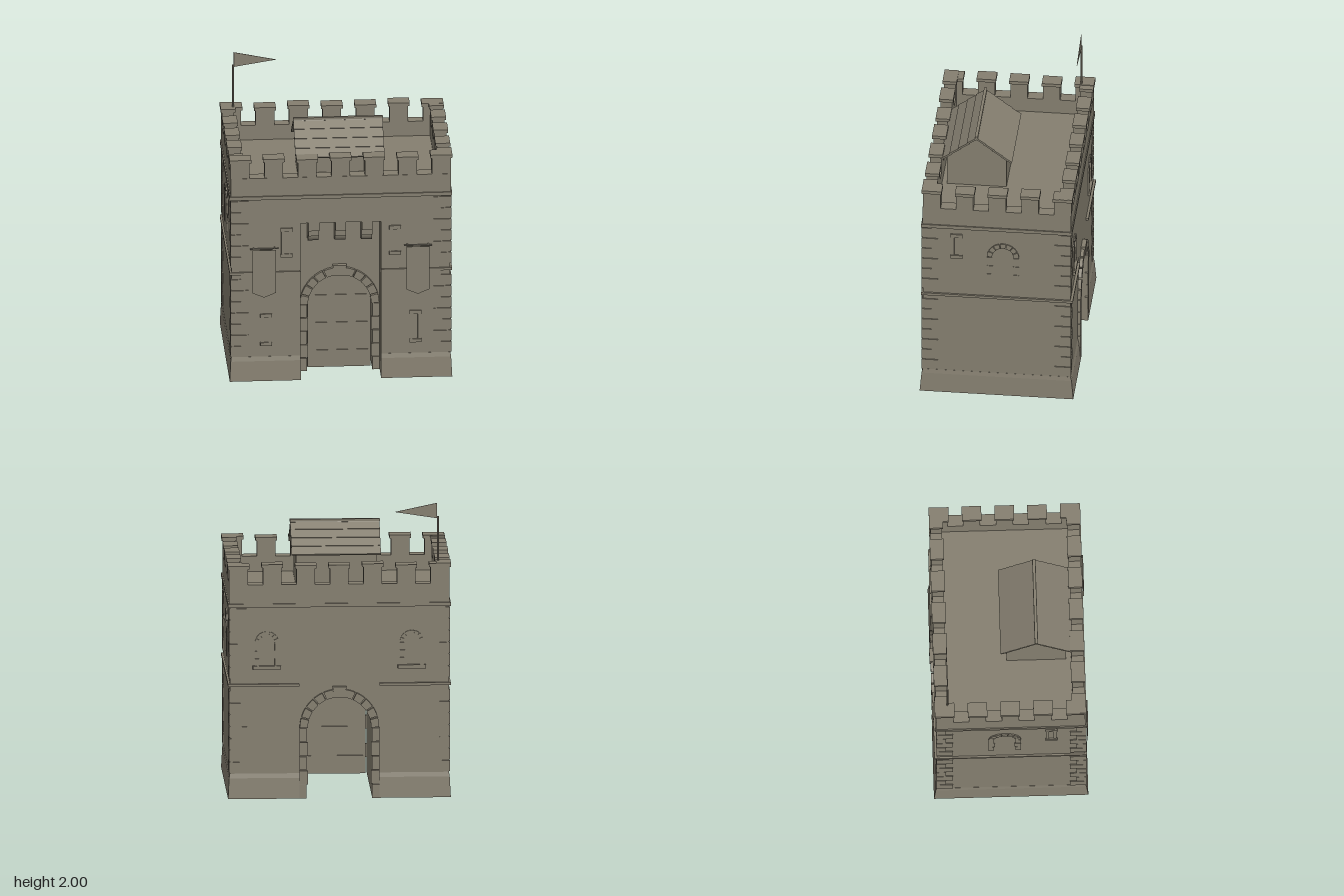
import * as THREE from 'three';

const stone = new THREE.MeshStandardMaterial({ color: 0x857f70 });
stone.name = 'weathered stone';
stone.side = THREE.DoubleSide;

export function createModel() {
  const root = new THREE.Group();
  root.name = 'gatehouse';

  const add = (parent, name, geo, x = 0, y = 0, z = 0) => {
    const m = new THREE.Mesh(geo, stone);
    m.name = name;
    m.position.set(x, y, z);
    parent.add(m);
    return m;
  };
  // box given by its limits
  const box = (parent, name, x0, x1, y0, y1, z0, z1) =>
    add(parent, name, new THREE.BoxGeometry(Math.abs(x1 - x0), y1 - y0, Math.abs(z1 - z0)),
      (x0 + x1) / 2, (y0 + y1) / 2, (z0 + z1) / 2);
  const slab = (parent, name, shape, depth, z) =>
    add(parent, name, new THREE.ExtrudeGeometry(shape, { depth, bevelEnabled: false, curveSegments: 24 }), 0, 0, z);
  const group = (name, x = 0, y = 0, z = 0, ry = 0) => {
    const g = new THREE.Group();
    g.name = name;
    g.position.set(x, y, z);
    g.rotation.y = ry;
    root.add(g);
    return g;
  };
  // ring of wedge stones over an opening, facing +z
  const archStones = (parent, r0, r1, cy, n, depth, gap = 0.02) => {
    for (let i = 0; i < n; i++) {
      const a = Math.PI * i / n + gap, b = Math.PI * (i + 1) / n - gap;
      const s = new THREE.Shape();
      s.absarc(0, cy, r1, a, b, false);
      s.absarc(0, cy, r0, b, a, true);
      slab(parent, 'archStone', s, depth, 0);
    }
  };
  const archShape = (r, cy) => {
    const s = new THREE.Shape();
    s.moveTo(-r, 0);
    s.lineTo(r, 0);
    s.lineTo(r, cy);
    s.absarc(0, cy, r, 0, Math.PI, false);
    return s;
  };

  // main block with the vaulted passage
  const body = new THREE.Shape();
  body.moveTo(-0.735, 0);
  body.lineTo(-0.22, 0);
  body.lineTo(-0.22, 0.48);
  body.absarc(0, 0.48, 0.22, Math.PI, 0, true);
  body.lineTo(0.22, 0);
  body.lineTo(0.735, 0);
  body.lineTo(0.735, 1.36);
  body.lineTo(-0.735, 1.36);
  slab(root, 'mainBlock', body, 0.84, -0.5);

  // front towers and the wall bridging them
  for (const s of [-1, 1]) box(root, 'frontTower', s * 0.27, s * 0.735, 0, 1.36, 0.34, 0.495);
  box(root, 'overhang', -0.27, 0.27, 1.13, 1.36, 0.34, 0.495);

  // stepped corbels with rounded feet
  for (const x of [-0.18, 0, 0.178]) {
    const p = new THREE.Shape();
    p.moveTo(0, 0.96);
    p.lineTo(0.04, 0.96);
    p.quadraticCurveTo(0.085, 0.965, 0.09, 1.02);
    p.lineTo(0.12, 1.02);
    p.lineTo(0.12, 1.07);
    p.lineTo(0.153, 1.07);
    p.lineTo(0.153, 1.13);
    p.lineTo(0, 1.13);
    const c = slab(root, 'corbel', p, 0.072, 0);
    c.rotation.y = -Math.PI / 2;
    c.position.set(x + 0.036, 0, 0.34);
  }

  // plinth with battered outer faces and a sloped top
  const plinth = (x0, x1, z0, z1, y0, y1, low, high) => {
    const m = box(root, 'plinth', x0, x1, y0, y1, z0, z1);
    const p = m.geometry.attributes.position;
    for (let i = 0; i < p.count; i++) {
      const grow = p.getY(i) < 0 ? low : high;
      const x = p.getX(i) + m.position.x, z = p.getZ(i) + m.position.z;
      if (Math.abs(x) > 0.7) p.setX(i, p.getX(i) + Math.sign(x) * grow * 0.6);
      if (Math.abs(z) > 0.48) p.setZ(i, p.getZ(i) + Math.sign(z) * grow);
    }
    m.geometry.computeVertexNormals();
  };
  for (const s of [-1, 1]) for (const [y0, y1, a, b] of [[0, 0.14, 0.02, 0.008], [0.14, 0.17, 0.008, 0]]) {
    plinth(s * 0.222, s * 0.736, -0.5, 0.34, y0, y1, a, b);
    plinth(s * 0.27, s * 0.736, 0.34, 0.496, y0, y1, a, b);
  }

  // string courses
  for (const s of [-1, 1]) {
    box(root, 'stringCourse', s * 0.27, s * 0.748, 0.768, 0.786, 0.49, 0.506);
    box(root, 'stringCourse', s * 0.27, s * 0.748, 0.768, 0.786, -0.517, -0.49);
    box(root, 'stringCourse', s * 0.73, s * 0.748, 0.768, 0.786, -0.515, 0.505);
    box(root, 'lowerFillet', s * 0.27, s * 0.67, 0.755, 0.768, 0.49, 0.5);
    box(root, 'topBand', s * 0.73, s * 0.748, 1.31, 1.335, -0.51, 0.506);
  }
  box(root, 'topBand', -0.748, 0.748, 1.31, 1.335, 0.49, 0.506);
  box(root, 'topBand', -0.748, 0.748, 1.31, 1.335, -0.512, -0.49);

  // alternating corner stones
  for (const sx of [-1, 1]) for (const sz of [-1, 1]) for (let i = 0; i < 14; i++) {
    const y = 0.175 + i * 0.081;
    if (y < 0.79 && y + 0.074 > 0.765) continue;
    const lx = i % 2 ? 0.12 : 0.07, lz = i % 2 ? 0.065 : 0.11;
    box(root, 'cornerStone', sx * (0.742 - lx), sx * 0.742, y, y + 0.074, sz * (0.503 - lz), sz * 0.503);
  }

  // parapet walls, merlons and caps
  for (const s of [-1, 1]) box(root, 'parapet', s * 0.66, s * 0.74, 1.335, 1.465, -0.505, 0.497);
  box(root, 'parapet', -0.66, 0.66, 1.335, 1.465, 0.415, 0.497);
  box(root, 'parapet', -0.66, 0.66, 1.335, 1.465, -0.505, -0.43);
  const merlon = (x, z, w, d, k) => {
    const top = 1.592 + 0.005 * Math.sin(k * 2.3);
    box(root, 'merlon', x - w / 2, x + w / 2, 1.465, top - 0.01, z - d / 2, z + d / 2);
    box(root, 'merlonCap', x - w / 2 - 0.01, x + w / 2 + 0.01, top - 0.015, top + 0.008, z - d / 2 - 0.008, z + d / 2 + 0.008);
  };
  for (let i = 0; i < 7; i++) {
    const x = -0.675 + i * 0.225;
    merlon(x, 0.455, 0.125, 0.08, i);
    merlon(x, -0.467, 0.125, 0.078, i + 4);
  }
  for (const s of [-1, 1]) {
    for (let i = 0; i < 5; i++) merlon(s * 0.7, -0.447 + i * 0.22, 0.08, 0.115, i + 2 * s);
  }

  // gate surrounds, front and back
  const surround = (g) => {
    archStones(g, 0.213, 0.267, 0.48, 11, 0.025);
    for (const s of [-1, 1]) for (let i = 0; i < 5; i++)
      box(g, 'jambStone', s * (i % 2 ? 0.213 : 0.22), s * 0.268, i * 0.097, i * 0.097 + 0.092, 0, 0.022);
    const key = new THREE.Shape();
    key.moveTo(-0.035, 0.69);
    key.lineTo(0.035, 0.69);
    key.lineTo(0.047, 0.765);
    key.lineTo(-0.047, 0.765);
    slab(g, 'keystone', key, 0.032, 0);
  };
  surround(group('frontGateSurround', 0, 0, 0.338));
  surround(group('backGateSurround', 0, 0, -0.498, Math.PI));

  // gate door with cross boards
  slab(root, 'gateDoor', archShape(0.212, 0.48), 0.025, 0.27);
  for (const y of [0.08, 0.28, 0.48]) {
    box(root, 'doorBoard', -0.205, 0.205, y, y + 0.045, 0.262, 0.3);
  }

  // narrow slit window frame, centred and facing +z
  const slit = (x, y, z, ry, h, w = 0.08) => {
    const g = group('slitWindow', x, y, z, ry);
    box(g, 'lintel', -w / 2, w / 2, h / 2 - 0.026, h / 2, 0, 0.012);
    box(g, 'sill', -w / 2, w / 2, -h / 2, -h / 2 + 0.024, 0, 0.014);
    for (const s of [-1, 1]) box(g, 'jamb', s * 0.015, s * 0.036, -h / 2 + 0.024, h / 2 - 0.026, 0, 0.009);
  };
  // arched window frame standing on its sill line
  const archWindow = (x, y, z, ry, r, h, t, sill) => {
    const g = group('archedWindow', x, y, z, ry);
    archStones(g, r - t, r, h, 7, 0.011, 0.03);
    for (const s of [-1, 1]) for (let i = 0; i < 3; i++)
      box(g, 'jambStone', s * (r - t - (i % 2) * 0.006), s * r, h * i / 3, h * (i + 0.95) / 3, 0, 0.01);
    if (sill) box(g, 'sill', -r - 0.015, r + 0.015, -0.025, 0, 0, 0.02);
  };
  for (const s of [-1, 1]) {
    slit(s * 0.502, 0.365, 0.493, 0, 0.23);
    slit(s * 0.365, 0.995, 0.493, 0, 0.21);
    slit(s * 0.733, 1.17, 0.268, s * Math.PI / 2, 0.19);
    archWindow(s * 0.733, 0.9, -0.045, s * Math.PI / 2, 0.108, 0.2, 0.035, false);
    archWindow(s * 0.487, 0.91, -0.498, Math.PI, 0.08, 0.155, 0.027, true);

    // hanging banners
    const b = new THREE.Shape();
    b.moveTo(-0.078, 0.95);
    b.lineTo(-0.078, 0.64);
    b.lineTo(0, 0.607);
    b.lineTo(0.078, 0.64);
    b.lineTo(0.078, 0.95);
    slab(root, 'banner', b, 0.005, 0.514).position.x = s * 0.517;
    const rod = add(root, 'bannerRod', new THREE.CylinderGeometry(0.005, 0.005, 0.19, 8), s * 0.517, 0.96, 0.514);
    rod.rotation.z = Math.PI / 2;
    for (const o of [-0.07, 0.07]) box(root, 'rodBracket', s * 0.517 + o - 0.004, s * 0.517 + o + 0.004, 0.955, 0.965, 0.49, 0.514);
  }

  // rooftop hut with gabled ends
  const hut = new THREE.Shape();
  hut.moveTo(-0.2, 1.36);
  hut.lineTo(0.2, 1.36);
  hut.lineTo(0.2, 1.59);
  hut.lineTo(0, 1.745);
  hut.lineTo(-0.2, 1.59);
  const hutMesh = slab(root, 'hut', hut, 0.54, 0);
  hutMesh.rotation.y = Math.PI / 2;
  hutMesh.position.set(-0.27, 0, 0.18);

  // overlapping roof boards on both slopes
  const slope = Math.atan2(0.18, 0.235), len = Math.hypot(0.18, 0.235);
  for (const s of [-1, 1]) {
    const g = group('roofSlope', 0, 1.758, 0.18, s > 0 ? 0 : Math.PI);
    const pitch = new THREE.Group();
    pitch.rotation.x = slope;
    g.add(pitch);
    for (let i = 0; i < 4; i++) {
      const board = box(pitch, 'roofBoard', -0.3, 0.3, -0.012, 0, i * len / 4 - 0.004, (i + 1) * len / 4 + 0.006);
      board.rotation.x = -0.06;
    }
  }
  box(root, 'ridgeBoard', -0.302, 0.302, 1.752, 1.768, 0.17, 0.19);

  // flag pole and pennant
  add(root, 'flagPole', new THREE.CylinderGeometry(0.006, 0.006, 0.55, 8), -0.665, 1.635, -0.428);
  const flag = new THREE.Shape();
  flag.moveTo(-0.66, 1.895);
  flag.lineTo(-0.375, 1.94);
  flag.lineTo(-0.66, 2);
  slab(root, 'pennant', flag, 0.004, -0.43);

  return root;
}
